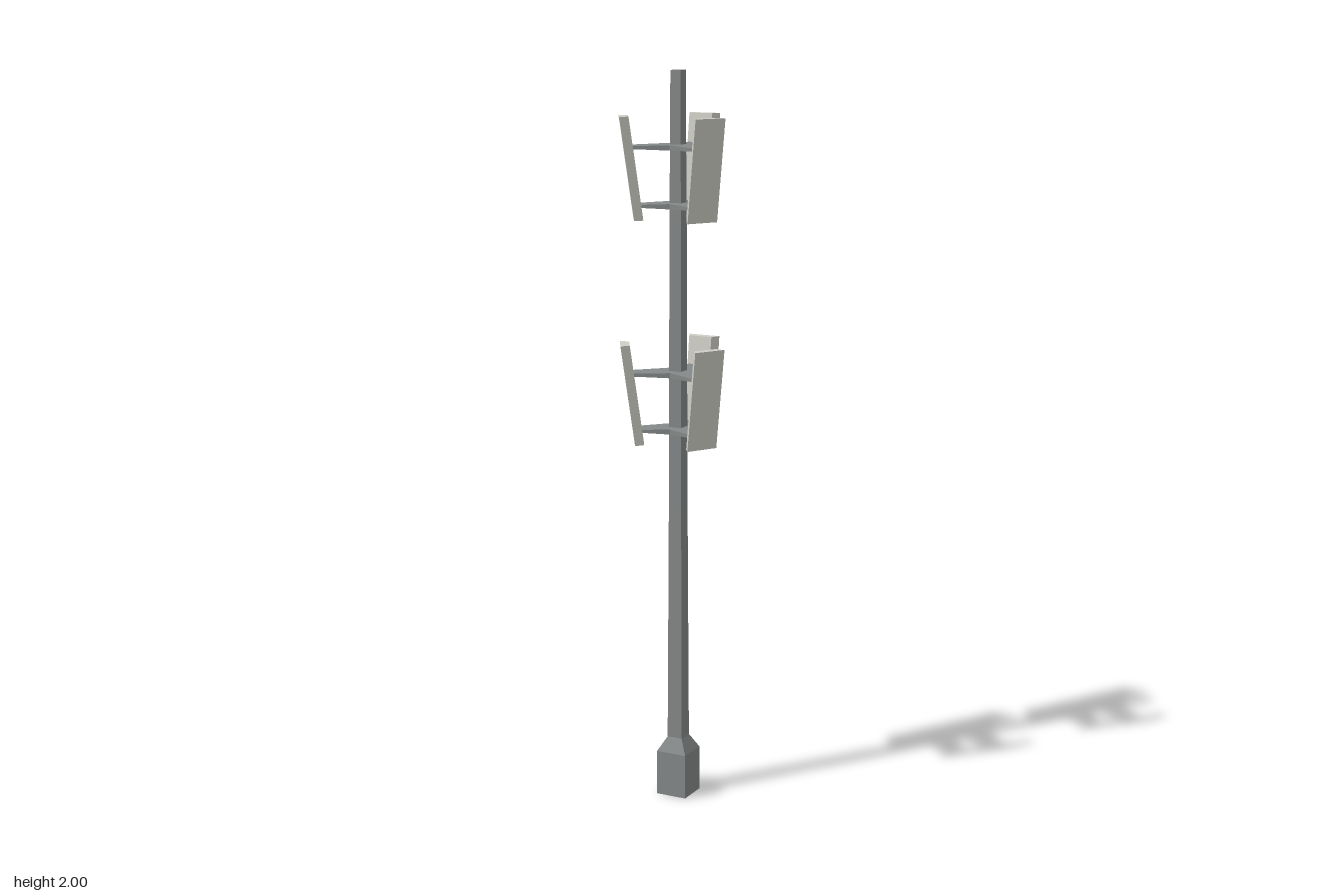
import * as THREE from 'three';

const flat = (name, color) => new THREE.MeshStandardMaterial({ name, color, flatShading: true });

// Upright prism from an outline of [x, outward] points; outward is -z
function prism(points, height) {
  const shape = new THREE.Shape(points.map(([x, out]) => new THREE.Vector2(x, out)));
  const geo = new THREE.ExtrudeGeometry(shape, { depth: height, bevelEnabled: false });
  return geo.rotateX(-Math.PI / 2);
}

// Move every vertex by a rule
function warp(geo, rule) {
  const p = geo.attributes.position;
  const v = new THREE.Vector3();
  for (let i = 0; i < p.count; i++) {
    rule(v.fromBufferAttribute(p, i));
    p.setXYZ(i, v.x, v.y, v.z);
  }
  geo.computeVertexNormals();
  return geo;
}

// Three-armed bracket plate, thinner towards the arm ends
function bracketGeometry(reach) {
  const points = [];
  for (let k = 0; k < 3; k++) {
    const a = Math.PI / 2 + (k * Math.PI * 2) / 3;
    const c = Math.cos(a), s = Math.sin(a);
    for (const side of [0.029, -0.029]) points.push([c * reach + s * side, s * reach - c * side]);
    points.push([Math.cos(a + Math.PI / 3) * 0.048, Math.sin(a + Math.PI / 3) * 0.048]);
  }
  const geo = prism(points, 1).translate(0, -0.5, 0);
  return warp(geo, (v) => { v.y *= Math.hypot(v.x, v.z) > 0.07 ? 0.008 : 0.014; });
}

// Antenna panel: wider outer face, top leaning outwards
function panelGeometry() {
  const height = 0.272;
  const geo = prism([[-0.034, 0.093], [0.034, 0.093], [0.046, 0.118], [-0.046, 0.118]], height);
  return warp(geo, (v) => { v.z -= (0.038 * v.y) / height; });
}

export function createModel() {
  const model = new THREE.Group();
  model.name = 'antennaMast';
  const metal = flat('greyMetal', 0x858888);
  const panelPaint = flat('paleGreyPanel', 0xcfcfc6);

  const mast = new THREE.Group();
  mast.name = 'mast';
  mast.position.z = 0.018;
  model.add(mast);

  const add = (parent, name, geo, mat, y = 0) => {
    const mesh = new THREE.Mesh(geo, mat);
    mesh.name = name;
    mesh.position.y = y;
    parent.add(mesh);
    return mesh;
  };

  // Square pole on a wider foot with a recessed underside: [half width, y]
  const profile = [
    [0, 0.04], [0.028, 0.04], [0.028, 0], [0.044, 0], [0.044, 0.125],
    [0.022, 0.165], [0.019, 0.82], [0.017, 1.6], [0.015, 2], [0, 2],
  ].map(([w, y]) => new THREE.Vector2(w * Math.SQRT2, y));
  add(mast, 'pole', new THREE.LatheGeometry(profile, 4, Math.PI / 4), metal);

  // Two tiers, each with two brackets and three panels
  const lowerBracket = bracketGeometry(0.102);
  const upperBracket = bracketGeometry(0.122);
  const panel = panelGeometry();
  for (const [name, y] of [['lowerTier', 1.003], ['upperTier', 1.609]]) {
    const tier = new THREE.Group();
    tier.name = name;
    tier.position.y = y;
    add(tier, 'lowerBracket', lowerBracket, metal, 0.037);
    add(tier, 'upperBracket', upperBracket, metal, 0.191);
    ['backPanel', 'rightPanel', 'leftPanel'].forEach((part, k) => {
      add(tier, part, panel, panelPaint).rotation.y = (k * Math.PI * 2) / 3;
    });
    mast.add(tier);
  }
  return model;
}
